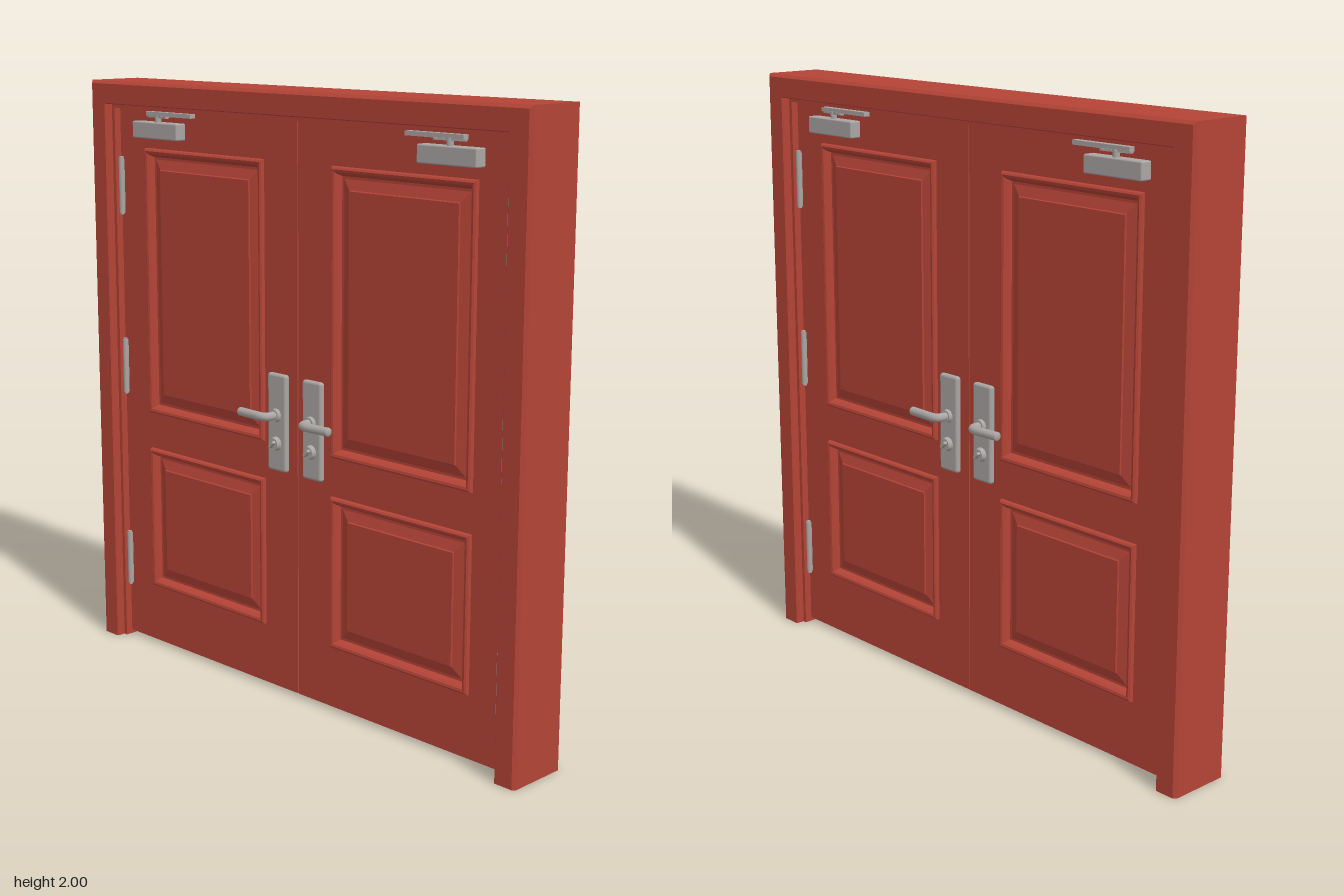
import * as THREE from 'three';
import { RoundedBoxGeometry } from 'three/addons/geometries/RoundedBoxGeometry.js';

const red = new THREE.MeshStandardMaterial({ color: 0xb54437 });
red.name = 'red paint';
const steel = new THREE.MeshStandardMaterial({ color: 0xaaa6a4 });
steel.name = 'brushed steel';

const HALF_W = 0.965, HEIGHT = 2, FACE = 0.055; // FACE: z of the leaf surface
const PANEL_X = [0.153, 0.738];
const PANELS = [[0.855, 1.778], [0.22, 0.728]];

function add(parent, name, geometry, material, x = 0, y = 0, z = 0) {
  const mesh = new THREE.Mesh(geometry, material);
  mesh.name = name;
  mesh.position.set(x, y, z);
  parent.add(mesh);
  return mesh;
}

// Frame member: stepped profile (d = distance in from the outer edge), mitred by a rule
function frameMember(rule) {
  const half = [[0, 0.1], [0.01, 0.11], [0.075, 0.11], [0.078, 0.107], [0.078, 0.08], [0.092, 0.08]];
  const points = [...half.map(([d, z]) => [d, -z]), ...half.map(([d, z]) => [d, z]).reverse()];
  const shape = new THREE.Shape(points.map(([d, z]) => new THREE.Vector2(d, z)));
  const geo = new THREE.ExtrudeGeometry(shape, { depth: 1, bevelEnabled: false });
  const p = geo.attributes.position;
  for (let i = 0; i < p.count; i++) p.setXYZ(i, ...rule(p.getX(i), p.getY(i), p.getZ(i)));
  geo.computeVertexNormals();
  return geo;
}

function rectPath(Type, x0, y0, x1, y1) {
  const path = new Type();
  path.moveTo(x0, y0);
  path.lineTo(x1, y0);
  path.lineTo(x1, y1);
  path.lineTo(x0, y1);
  path.closePath();
  return path;
}

// Raised moulding and panel field: nested rectangles joined into rings, then capped
function panelGeometry(x0, y0, x1, y1) {
  const steps = [[0, 0], [0.003, 0.01], [0.009, 0.014], [0.017, 0.012], [0.024, 0.002],
    [0.03, -0.012], [0.038, -0.012], [0.07, -0.002], [0.073, 0.002]];
  const rings = steps.map(([s, z]) => [
    [x0 + s, y0 + s, z], [x1 - s, y0 + s, z], [x1 - s, y1 - s, z], [x0 + s, y1 - s, z]]);
  const v = [];
  for (let i = 0; i < rings.length - 1; i++) {
    for (let k = 0; k < 4; k++) {
      const n = (k + 1) % 4, a = rings[i], b = rings[i + 1];
      v.push(...a[k], ...a[n], ...b[n], ...a[k], ...b[n], ...b[k]);
    }
  }
  const c = rings.at(-1);
  v.push(...c[0], ...c[1], ...c[2], ...c[0], ...c[2], ...c[3]);
  const geo = new THREE.BufferGeometry();
  geo.setAttribute('position', new THREE.Float32BufferAttribute(v, 3));
  geo.computeVertexNormals();
  return geo;
}

// Lever handle on a rounded plate; side is -1 or 1
function handle(side) {
  const g = new THREE.Group();
  g.name = 'handle';
  const x = side * 0.08;
  add(g, 'handlePlate', new RoundedBoxGeometry(0.086, 0.325, 0.022, 3, 0.01), steel, x, 0.932, FACE + 0.01);
  const collar = add(g, 'leverCollar', new THREE.CylinderGeometry(0.02, 0.023, 0.014, 20), steel, x, 0.958, FACE + 0.026);
  collar.rotation.x = Math.PI / 2;
  const path = new THREE.CatmullRomCurve3([
    [0, 0.015], [0, 0.048], [0.006, 0.063], [0.022, 0.069], [0.07, 0.068], [0.122, 0.066],
  ].map(([dx, dz]) => new THREE.Vector3(x + side * dx, 0.958, FACE + dz)));
  add(g, 'lever', new THREE.TubeGeometry(path, 28, 0.0145, 12), steel);
  const tip = add(g, 'leverTip', new THREE.SphereGeometry(0.0145, 12, 8), steel, x + side * 0.122, 0.958, FACE + 0.066);
  tip.scale.x = 0.4;
  const lock = add(g, 'lockCylinder', new THREE.CylinderGeometry(0.02, 0.024, 0.016, 20), steel, x, 0.863, FACE + 0.028);
  lock.rotation.x = Math.PI / 2;
  const turn = add(g, 'thumbTurn', new RoundedBoxGeometry(0.03, 0.011, 0.016, 2, 0.004), steel, x, 0.863, FACE + 0.04);
  turn.rotation.z = Math.PI / 4;
  return g;
}

// Door closer: body on the leaf, arm and track above
function closer(side) {
  const g = new THREE.Group();
  g.name = 'doorCloser';
  add(g, 'closerBody', new RoundedBoxGeometry(0.228, 0.056, 0.042, 2, 0.005), steel, side * 0.646, 1.842, FACE + 0.02);
  add(g, 'closerSpindle', new THREE.CylinderGeometry(0.011, 0.011, 0.026, 14), steel, side * 0.645, 1.88, FACE + 0.022);
  const arm = add(g, 'closerArm', new THREE.BoxGeometry(0.11, 0.007, 0.014), steel, side * 0.645, 1.888, FACE + 0.022);
  arm.rotation.y = side * 0.12;
  add(g, 'closerTrack', new THREE.BoxGeometry(0.226, 0.014, 0.022), steel, side * 0.588, 1.897, FACE + 0.018);
  return g;
}

// Knuckle hinges down the outer edge of a leaf
function hinges(side) {
  const g = new THREE.Group();
  g.name = 'hinges';
  for (const y of [0.295, 1.005, 1.642]) {
    add(g, 'hingeKnuckle', new THREE.CylinderGeometry(0.01, 0.01, 0.19, 14), steel, side * 0.863, y, FACE + 0.008);
    add(g, 'hingeLeaf', new THREE.BoxGeometry(0.016, 0.18, 0.006), steel, side * 0.864, y, FACE + 0.002);
    for (const end of [-1, 1]) {
      add(g, 'hingeCap', new THREE.CylinderGeometry(0.007, 0.007, 0.006, 12), steel, side * 0.863, y + end * 0.097, FACE + 0.008);
    }
  }
  return g;
}

export function createModel() {
  const model = new THREE.Group();
  model.name = 'doubleDoor';

  // Frame
  add(model, 'leftJamb', frameMember((d, z, t) => [HALF_W - d, t * (HEIGHT - d), z]), red);
  add(model, 'rightJamb', frameMember((d, z, t) => [d - HALF_W, t * (HEIGHT - d), -z]), red);
  add(model, 'frameHead', frameMember((d, z, t) => [(2 * t - 1) * (HALF_W - d), HEIGHT - d, -z]), red);

  // Door leaves with openings for the panels
  for (const side of [-1, 1]) {
    const xs = [0.002, 0.873].map((x) => x * side).sort((a, b) => a - b);
    const px = PANEL_X.map((x) => x * side).sort((a, b) => a - b);
    const shape = rectPath(THREE.Shape, xs[0], 0.014, xs[1], 1.909);
    for (const [y0, y1] of PANELS) shape.holes.push(rectPath(THREE.Path, px[0], y0, px[1], y1));
    const geo = new THREE.ExtrudeGeometry(shape, { depth: FACE * 2, bevelEnabled: false });
    add(model, side > 0 ? 'leftLeaf' : 'rightLeaf', geo, red, 0, 0, -FACE);
  }

  // Panels and hardware, the same on both faces
  const face = new THREE.Group();
  face.name = 'frontFittings';
  for (const side of [-1, 1]) {
    const px = PANEL_X.map((x) => x * side).sort((a, b) => a - b);
    for (const [y0, y1] of PANELS) {
      add(face, 'mouldedPanel', panelGeometry(px[0], y0, px[1], y1), red, 0, 0, FACE);
    }
    face.add(handle(side), closer(side), hinges(side));
  }
  const back = face.clone();
  back.name = 'backFittings';
  back.rotation.y = Math.PI;
  model.add(face, back);
  return model;
}
